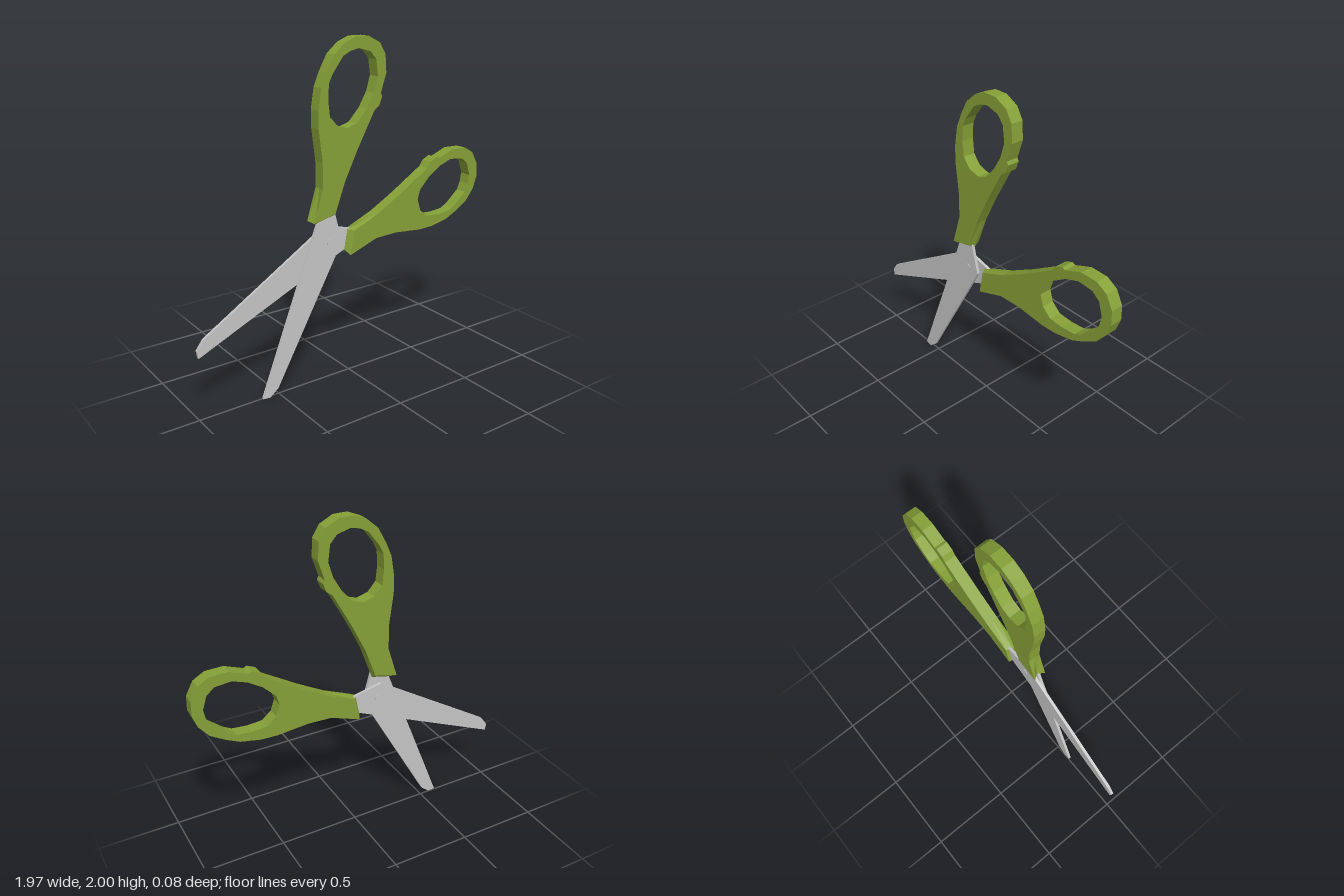
import * as THREE from 'three';

const green = new THREE.MeshStandardMaterial({ color: 0x86a138 });
green.name = 'handle green';
const grey = new THREE.MeshStandardMaterial({ color: 0xc6c6c6 });
grey.name = 'blade grey';

const PIVOT = new THREE.Vector3(-0.14, 0.87, 0);
const AXIS_ANGLE = THREE.MathUtils.degToRad(46.2);

const vectors = (points) => points.map(([x, y]) => new THREE.Vector2(x, y));

// Flat plate between two z values, with an optional hole
function plate(outline, z0, z1, steps = 1, hole = null) {
  const shape = new THREE.Shape(vectors(outline));
  if (hole) shape.holes.push(new THREE.Path(vectors(hole)));
  const geometry = new THREE.ExtrudeGeometry(shape, { depth: z1 - z0, steps, bevelEnabled: false });
  geometry.translate(0, 0, z0);
  return geometry;
}

function named(name, geometry, material) {
  const mesh = new THREE.Mesh(geometry, material);
  mesh.name = name;
  return mesh;
}

function makeHandle() {
  const outline = [
    [-0.26, 0.99], [-0.115, 1.025], [-0.05, 1.2], [0.035, 1.37], [0.155, 1.585],
    [0.19, 1.61], [0.21, 1.66], [0.2, 1.68], [0.237, 1.79], [0.23, 1.895],
    [0.19, 1.96], [0.11, 2.0], [0.025, 2.0], [-0.05, 1.97], [-0.12, 1.91],
    [-0.17, 1.82], [-0.205, 1.74], [-0.225, 1.62], [-0.225, 1.52], [-0.2, 1.33],
    [-0.2, 1.18],
  ];
  const fingerHole = [
    [-0.16, 1.67], [-0.155, 1.76], [-0.13, 1.81], [-0.06, 1.9], [-0.01, 1.925],
    [0.045, 1.937], [0.125, 1.915], [0.165, 1.87], [0.178, 1.775], [0.15, 1.685],
    [0.1, 1.6], [0.03, 1.525], [-0.03, 1.505], [-0.1, 1.525], [-0.15, 1.58],
  ];
  const geometry = plate(outline, -0.04, 0.034, 2, fingerHole);

  // Push the middle of the end face out to a shallow ridge
  const p = geometry.attributes.position;
  for (let i = 0; i < p.count; i++) {
    if (p.getY(i) > 1.1 || Math.abs(p.getZ(i) + 0.003) > 0.01) continue;
    if (p.getX(i) < -0.2) p.setXY(i, -0.23, 0.973);
    else p.setXY(i, -0.112, 1.0);
  }
  geometry.computeVertexNormals();
  return named('handle', geometry, green);
}

function makeBlade() {
  const outline = [
    [-0.61, 0.005], [-0.565, 0], [-0.51, 0.045], [-0.06, 0.845],
    [-0.11, 1.03], [-0.22, 1.0],
  ];
  return named('blade', plate(outline, 0.0005, 0.018), grey);
}

export function createModel() {
  const model = new THREE.Group();
  model.name = 'scissors';

  const upperHalf = new THREE.Group();
  upperHalf.name = 'upperHalf';
  upperHalf.add(makeHandle(), makeBlade());

  // The other half is the same piece turned over about the axis between them
  const lowerHalf = upperHalf.clone();
  lowerHalf.name = 'lowerHalf';
  const axis = new THREE.Vector3(Math.cos(AXIS_ANGLE), Math.sin(AXIS_ANGLE), 0);
  lowerHalf.quaternion.setFromAxisAngle(axis, Math.PI);
  lowerHalf.position.copy(PIVOT).sub(PIVOT.clone().applyQuaternion(lowerHalf.quaternion));

  // Rivet through both blades
  const rivet = named('rivet', new THREE.CylinderGeometry(0.02, 0.02, 0.044, 12), grey);
  rivet.rotation.x = Math.PI / 2;
  rivet.position.set(-0.147, 0.858, 0);

  model.add(upperHalf, lowerHalf, rivet);
  return model;
}
